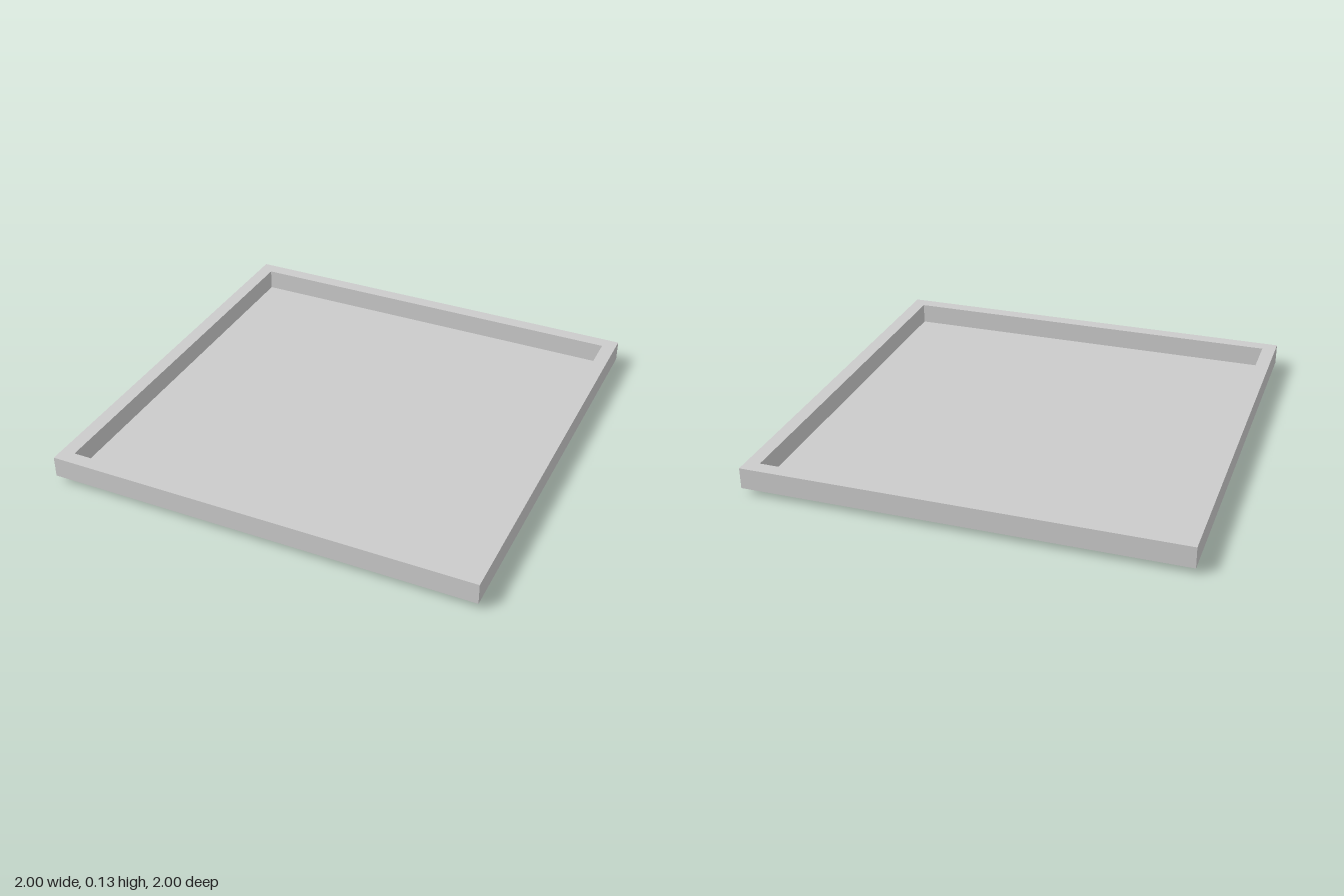
import * as THREE from 'three';

const HALF = 1;        // outer half width of the rim
const INNER = 0.935;   // half width of the opening and base panel
const BASE = 0.03;     // base panel thickness
const TOP = 0.128;     // overall height

function square(half, Type) {
  return new Type([[-1, -1], [1, -1], [1, 1], [-1, 1]]
    .map(([x, y]) => new THREE.Vector2(x * half, y * half)));
}

export function createModel() {
  const group = new THREE.Group();
  group.name = 'tray';
  const material = new THREE.MeshStandardMaterial({ color: 0xcccccc });

  // Square rim, raised above the base
  const outline = square(HALF, THREE.Shape);
  outline.holes.push(square(INNER, THREE.Path));
  const rimGeometry = new THREE.ExtrudeGeometry(outline, { depth: TOP - BASE, bevelEnabled: false });
  rimGeometry.rotateX(-Math.PI / 2).translate(0, BASE, 0);
  const rim = new THREE.Mesh(rimGeometry, material);
  rim.name = 'rim';
  group.add(rim);

  // Base panel filling the opening and projecting below the rim
  const base = new THREE.Mesh(new THREE.BoxGeometry(INNER * 2, BASE, INNER * 2), material);
  base.name = 'basePanel';
  base.position.y = BASE / 2;
  group.add(base);

  return group;
}
